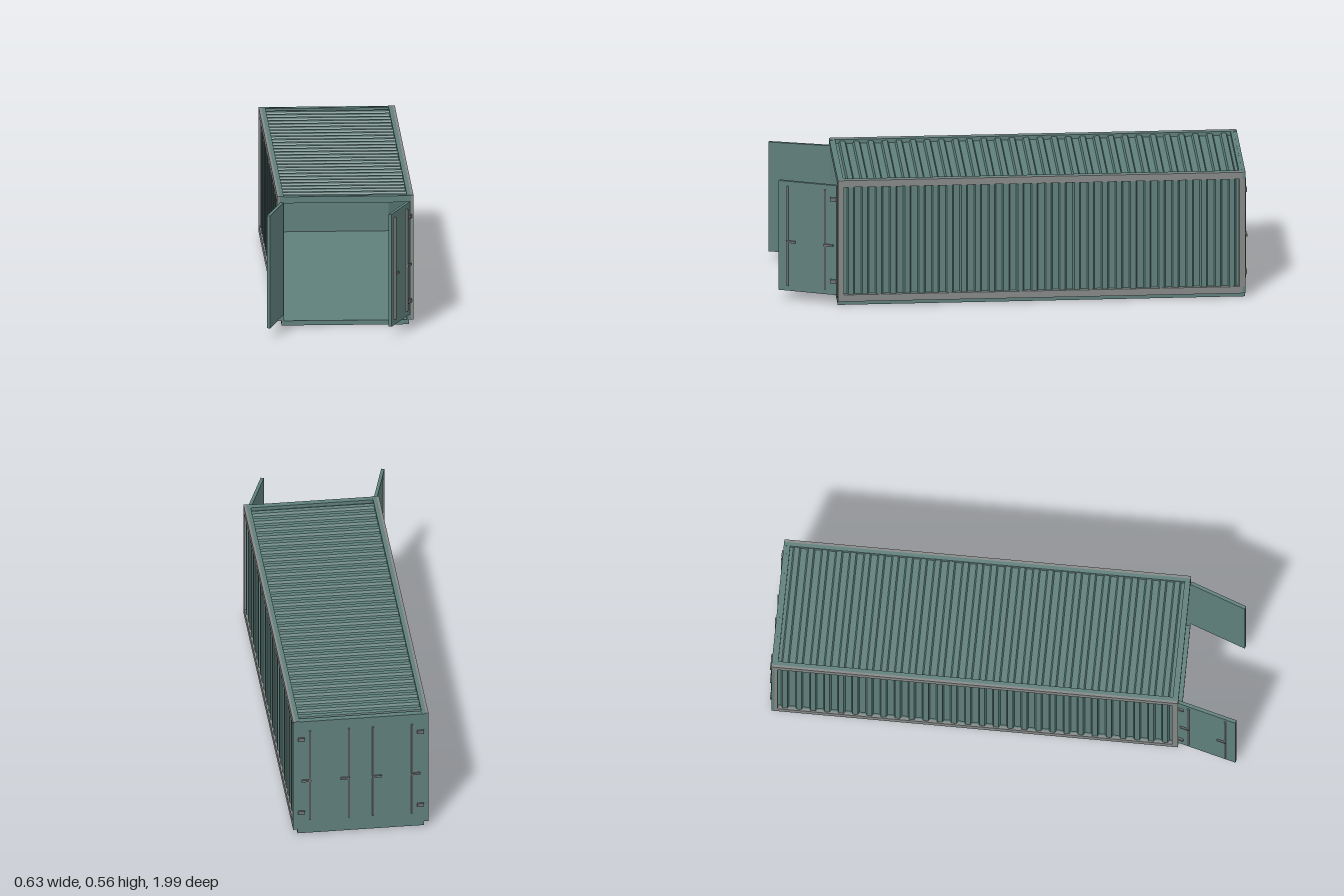
import * as THREE from 'three';

const paint = new THREE.MeshStandardMaterial({ color: 0x5f7f7b, name: 'teal paint' });
const frameGrey = new THREE.MeshStandardMaterial({ color: 0x868888, name: 'frame grey' });
const hardware = new THREE.MeshStandardMaterial({ color: 0x707374, name: 'hardware grey' });

const CX = 0.033;              // middle of the container body
const FRONT = 0.74, BACK = -0.988;

// Box given by its minimum and maximum on each axis
function box(parent, name, mat, x0, x1, y0, y1, z0, z1) {
  const mesh = new THREE.Mesh(new THREE.BoxGeometry(x1 - x0, y1 - y0, z1 - z0), mat);
  mesh.position.set((x0 + x1) / 2, (y0 + y1) / 2, (z0 + z1) / 2);
  mesh.name = name;
  parent.add(mesh);
  return mesh;
}

// Corrugated sheet: trapezoid ribs along x, relief along y, extruded along z
function corrugated(length, width, ribs, depth) {
  const pitch = length / ribs;
  const shape = new THREE.Shape();
  shape.moveTo(0, -0.004);
  for (let i = 0; i < ribs; i++) {
    const s = i * pitch;
    shape.lineTo(s, 0);
    shape.lineTo(s + pitch * 0.22, 0);
    shape.lineTo(s + pitch * 0.32, depth);
    shape.lineTo(s + pitch * 0.68, depth);
    shape.lineTo(s + pitch * 0.78, 0);
  }
  shape.lineTo(length, 0);
  shape.lineTo(length, -0.004);
  return new THREE.ExtrudeGeometry(shape, { depth: width, bevelEnabled: false });
}

// Door with its hinge at the origin, reaching along dir on x, outside facing +z
function door(name, dir, width) {
  const g = new THREE.Group();
  g.name = name;
  const part = (n, mat, a, b, y0, y1, z0, z1) =>
    box(g, n, mat, Math.min(a * dir, b * dir), Math.max(a * dir, b * dir), y0, y1, z0, z1);
  part('doorPanel', paint, 0, width, 0.045, 0.533, 0, 0.014);
  for (const d of [0.05, 0.216]) {
    part('lockingBar', frameGrey, d - 0.004, d + 0.004, 0.068, 0.512, 0.014, 0.021);
    part('handle', hardware, d - 0.036, d + 0.005, 0.261, 0.27, 0.017, 0.024);
  }
  for (const y of [0.106, 0.472])
    part('hinge', hardware, 0, 0.028, y - 0.008, y + 0.008, 0.01, 0.022);
  return g;
}

export function createModel() {
  const model = new THREE.Group();
  model.name = 'shippingContainer';

  // Floor
  box(model, 'floor', paint, CX - 0.27, CX + 0.27, 0, 0.02, BACK, FRONT);

  // Side walls with frames
  const z0 = BACK + 0.025, z1 = FRONT - 0.025;
  for (const s of [1, -1]) {
    const side = new THREE.Group();
    side.name = s > 0 ? 'leftSide' : 'rightSide';
    const part = (n, mat, a, b, y0, y1, za, zb) =>
      box(side, n, mat, Math.min(CX + s * a, CX + s * b), Math.max(CX + s * a, CX + s * b), y0, y1, za, zb);
    part('innerWall', paint, 0.261, 0.269, 0.05, 0.53, z0, z1);
    for (const [y0, y1] of [[0.02, 0.05], [0.53, 0.56]]) {
      part('railCore', paint, 0.261, 0.278, y0, y1, BACK, FRONT);
      part('sideRail', frameGrey, 0.278, 0.289, y0, y1, BACK, FRONT);
    }
    for (const [za, zb] of [[BACK, z0], [z1, FRONT]]) {
      part('postCore', paint, 0.261, 0.278, 0.05, 0.53, za, zb);
      part('cornerPost', frameGrey, 0.278, 0.289, 0.05, 0.53, za, zb);
    }
    const sheet = new THREE.Mesh(corrugated(z1 - z0, 0.48, 28, 0.012), paint);
    sheet.name = 'corrugatedWall';
    // Sheet x runs along z, relief points outward, width runs up or down
    sheet.matrixAutoUpdate = true;
    sheet.quaternion.setFromRotationMatrix(new THREE.Matrix4().makeBasis(
      new THREE.Vector3(0, 0, 1), new THREE.Vector3(s, 0, 0), new THREE.Vector3(0, s, 0)));
    sheet.position.set(CX + s * 0.271, s > 0 ? 0.05 : 0.53, z0);
    side.add(sheet);
    model.add(side);
  }

  // Roof
  box(model, 'ceiling', paint, CX - 0.261, CX + 0.261, 0.53, 0.539, z0, z1);
  const roof = new THREE.Mesh(corrugated(z1 - z0, 0.522, 28, 0.011), paint);
  roof.name = 'corrugatedRoof';
  roof.rotation.y = -Math.PI / 2;
  roof.position.set(CX + 0.261, 0.542, z0);
  model.add(roof);
  box(model, 'frontHeader', paint, CX - 0.261, CX + 0.261, 0.53, 0.558, z1, FRONT);
  box(model, 'backHeader', paint, CX - 0.261, CX + 0.261, 0.53, 0.558, BACK, z0);

  // Closed back end
  box(model, 'backWall', paint, CX - 0.289, CX + 0.289, 0.02, 0.559, BACK - 0.002, BACK + 0.012);
  for (const s of [1, -1]) {
    const d = door('backDoor', s, 0.267);
    d.rotation.y = Math.PI;
    d.position.set(CX + s * 0.268, 0, -0.976);
    model.add(d);
  }

  // Open front doors
  const leftDoor = door('leftFrontDoor', -1, 0.256);
  leftDoor.position.set(0.294, 0, FRONT);
  leftDoor.rotation.y = 1.215;
  const rightDoor = door('rightFrontDoor', 1, 0.262);
  rightDoor.position.set(-0.23, 0, FRONT);
  rightDoor.rotation.y = -1.83;
  model.add(leftDoor, rightDoor);

  return model;
}
